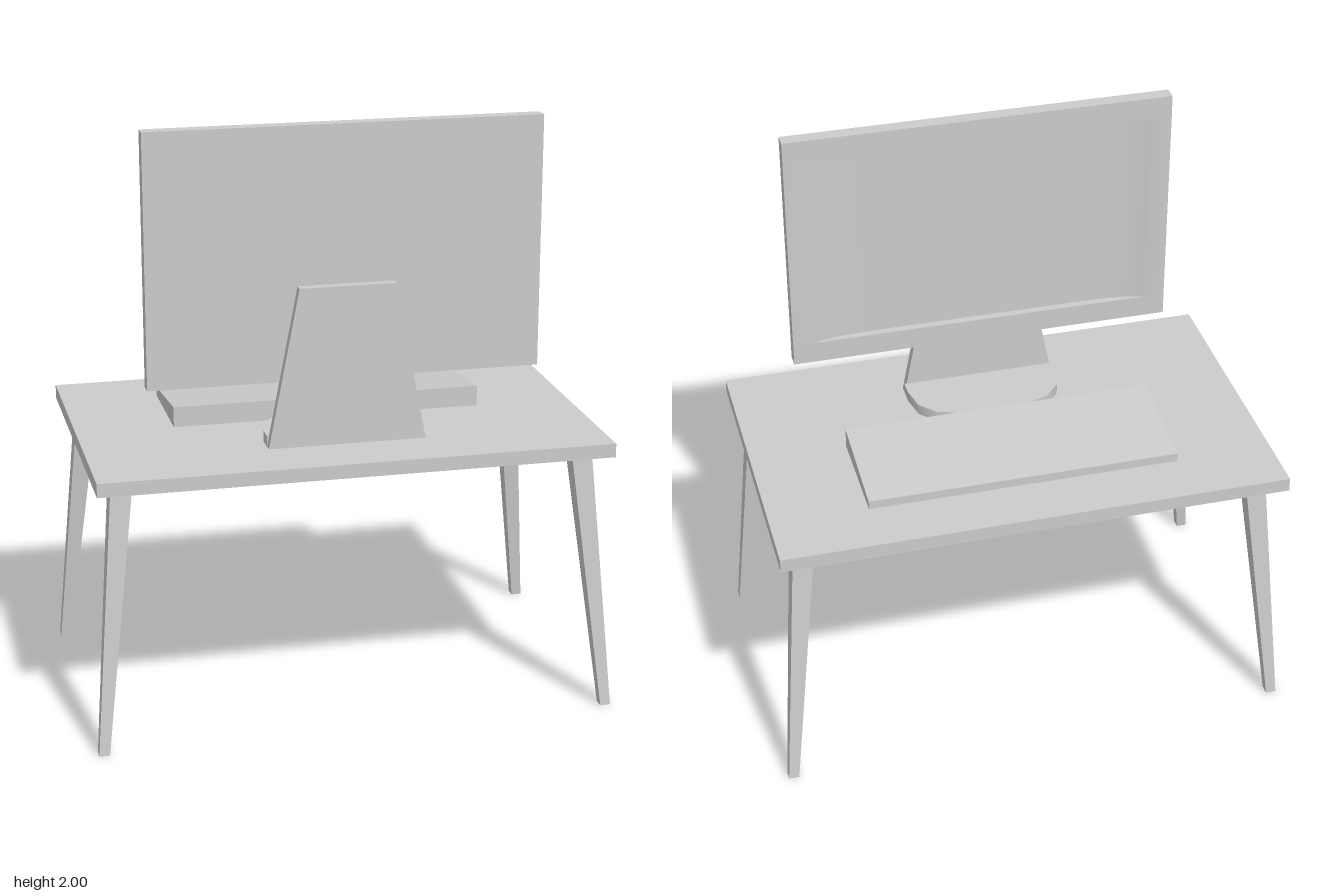
import * as THREE from 'three';
import { toCreasedNormals } from 'three/addons/utils/BufferGeometryUtils.js';

const material = new THREE.MeshStandardMaterial({ color: 0xcccccc });

function add(parent, name, geometry, x = 0, y = 0, z = 0) {
  const mesh = new THREE.Mesh(geometry, material);
  mesh.name = name;
  mesh.position.set(x, y, z);
  parent.add(mesh);
  return mesh;
}

const shapeOf = (points) => new THREE.Shape(points.map(([x, y]) => new THREE.Vector2(x, y)));

const extrude = (points, depth) =>
  new THREE.ExtrudeGeometry(shapeOf(points), { depth, bevelEnabled: false });

// Extrudes an outline given as [x, z] upwards from y = 0
function extrudeUp(points, height) {
  const g = extrude(points.map(([x, z]) => [x, -z]), height);
  g.rotateX(-Math.PI / 2);
  return g;
}

// Tapered, splayed leg in the +x +z corner; sx and sz mirror it
function legGeometry(sx, sz) {
  const height = 0.895;
  const g = new THREE.BoxGeometry(1, height, 1);
  const p = g.attributes.position;
  for (let i = 0; i < p.count; i++) {
    const top = p.getY(i) > 0;
    const half = top ? 0.035 : 0.0175;
    const cx = (top ? 0.768 : 0.857) * sx;
    const cz = (top ? 0.41 : 0.502) * sz;
    p.setXYZ(i, cx + Math.sign(p.getX(i)) * half, top ? height : 0, cz + Math.sign(p.getZ(i)) * half);
  }
  g.computeVertexNormals();
  return g;
}

export function createModel() {
  const model = new THREE.Group();
  model.name = 'computerDesk';

  // Desk
  const desk = new THREE.Group();
  desk.name = 'desk';
  model.add(desk);
  add(desk, 'deskTop', new THREE.BoxGeometry(1.714, 0.047, 1.056), 0, 0.9185, 0);
  for (const sx of [-1, 1]) {
    for (const sz of [-1, 1]) {
      add(desk, `${sz > 0 ? 'front' : 'back'}${sx > 0 ? 'Left' : 'Right'}Leg`, legGeometry(sx, sz));
    }
  }

  // Screen panel: top and bottom bars around a middle with a softly sunken display facing -z
  const monitor = new THREE.Group();
  monitor.name = 'monitor';
  model.add(monitor);
  const halfW = 0.655, zBack = 0.243, zFront = 0.292, bottom = 1.158, topY = 2, bar = 0.075;
  const thick = zFront - zBack;
  for (const [name, y] of [['topBezel', topY - bar / 2], ['bottomBezel', bottom + bar / 2]]) {
    add(monitor, name, new THREE.BoxGeometry(halfW * 2, bar, thick), 0, y, (zBack + zFront) / 2);
  }
  const section = [[-halfW, zFront], [halfW, zFront], [halfW, zBack]];
  const steps = 40, inner = 0.585, sink = 0.027;
  for (let i = 0; i <= steps; i++) {
    const t = Math.cos((i / steps) * Math.PI);
    section.push([t * inner, zBack + sink * (1 - Math.abs(t) ** 8)]);
  }
  section.push([-halfW, zBack]);
  add(monitor, 'display',
    toCreasedNormals(extrudeUp(section, topY - bottom - bar * 2), 0.9), 0, bottom + bar, 0);

  // Stand: tapering upright plate and rounded foot
  const upright = extrude([[-0.265, 0.94], [0.265, 0.94], [0.16, 1.477], [-0.16, 1.477]], 0.032);
  add(monitor, 'standUpright', upright, 0, 0, 0.293);
  const half = [[0.265, 0.295], [0.265, 0.24], [0.247, 0.155], [0.195, 0.097], [0.115, 0.073]];
  const outline = [...half, ...half.map(([x, z]) => [-x, z]).reverse()];
  add(monitor, 'standFoot', toCreasedNormals(extrudeUp(outline, 0.038), 0.8), 0, 0.941, 0);

  // Wedge keyboard, its profile drawn in z and y
  const wedge = extrude([[-0.03, 0.941], [0.335, 0.941], [0.335, 0.972], [-0.03, 1.012]], 1.056);
  wedge.rotateY(Math.PI / 2);
  add(model, 'keyboard', wedge, -0.528, 0, 0);

  return model;
}
